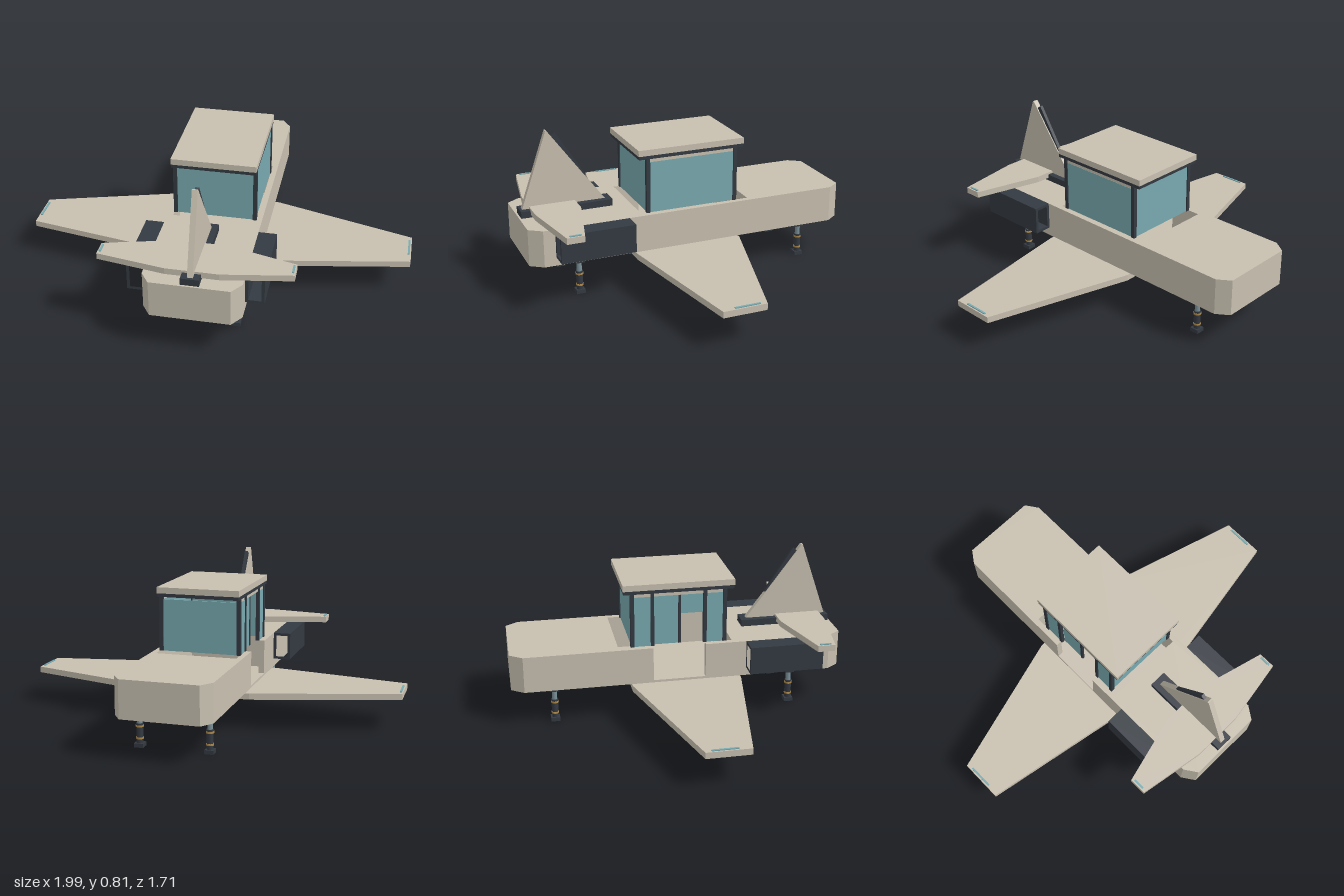
import * as THREE from 'three';

const mat = (name, color) => {
  const m = new THREE.MeshStandardMaterial({ color });
  m.name = name;
  return m;
};

export function createModel() {
  const root = new THREE.Group();
  root.name = 'aircraft';
  const hullPaint = mat('warm grey paint', 0xc8c0b0);
  const dark = mat('dark metal', 0x343a42);
  const glass = mat('teal glass', 0x78aab0);
  const steel = mat('steel', 0x7b929a);
  const brass = mat('brass', 0xb08a4a);

  const add = (name, geo, material, parent = root) => {
    const m = new THREE.Mesh(geo, material);
    m.name = name;
    parent.add(m);
    return m;
  };
  // Box given by its limits
  const box = (name, material, x0, x1, y0, y1, z0, z1, parent) => {
    const m = add(name, new THREE.BoxGeometry(x1 - x0, y1 - y0, z1 - z0), material, parent);
    m.position.set((x0 + x1) / 2, (y0 + y1) / 2, (z0 + z1) / 2);
    return m;
  };
  // Horizontal slab from [x, z] points
  const slab = (name, material, pts, y0, y1) => {
    const shape = new THREE.Shape(pts.map(([x, z]) => new THREE.Vector2(x, -z)));
    const geo = new THREE.ExtrudeGeometry(shape, { depth: y1 - y0, bevelEnabled: false });
    geo.rotateX(-Math.PI / 2).translate(0, y0, 0);
    return add(name, geo, material);
  };
  // Upright plate from [z, y] points, centred on x = 0
  const plate = (name, material, pts, width) => {
    const shape = new THREE.Shape(pts.map(([z, y]) => new THREE.Vector2(-z, y)));
    const geo = new THREE.ExtrudeGeometry(shape, { depth: width, bevelEnabled: false });
    geo.translate(0, 0, -width / 2).rotateY(Math.PI / 2);
    return add(name, geo, material);
  };

  // Fuselage: floor, and walls around the cabin well with a doorway in the right side
  const W = 0.24, L = 0.855, c = 0.195, e = 0.79, D = 0.135;
  const outline = [[-W, D], [-W, e], [-c, L], [c, L], [W, e], [W, -e], [c, -L], [-c, -L], [-W, -e], [-W, -D]];
  const well = [[-0.21, -D], [-0.21, -0.31], [0.21, -0.31], [0.21, 0.275], [-0.21, 0.275], [-0.21, D]];
  slab('fuselageFloor', hullPaint, outline, 0.195, 0.207);
  slab('fuselageWalls', hullPaint, [...outline, ...well], 0.207, 0.385);

  // Wings and tailplane
  slab('wings', hullPaint, [[-0.26, -0.247], [0.26, -0.247], [0.995, -0.033], [0.995, 0.187],
    [0.26, 0.318], [-0.26, 0.318], [-0.995, 0.187], [-0.995, -0.033]], 0.163, 0.195);
  slab('tailplane', hullPaint, [[-0.12, 0.56], [0.12, 0.56], [0.472, 0.652], [0.472, 0.74],
    [0.13, 0.797], [-0.13, 0.797], [-0.472, 0.74], [-0.472, 0.652]], 0.4, 0.432);
  box('bellyHatch', dark, -0.07, 0.07, 0.148, 0.163, -0.033, 0.113);

  // Fin with its dark base and leading strip
  box('finBase', dark, -0.045, 0.045, 0.385, 0.42, 0.37, 0.845);
  plate('fin', hullPaint, [[0.833, 0.417], [0.398, 0.417], [0.508, 0.563], [0.69, 0.81], [0.697, 0.81]], 0.028);
  plate('finStrip', dark, [[0.67, 0.775], [0.645, 0.793], [0.497, 0.56], [0.52, 0.56]], 0.018);

  // Cabin roof, corner posts, headers and windows
  box('roof', hullPaint, -0.214, 0.214, 0.686, 0.717, -0.283, 0.287);
  box('roofLining', dark, -0.212, 0.212, 0.668, 0.686, -0.28, 0.284);
  for (const s of [-1, 1]) {
    for (const t of [-1, 1]) {
      box('cornerPost', dark, s * 0.203 - 0.01, s * 0.203 + 0.01, 0.385, 0.668, t * 0.237 - 0.01, t * 0.237 + 0.01);
    }
    box('header', hullPaint, s * 0.2 - 0.006, s * 0.2 + 0.006, 0.65, 0.668, -0.227, 0.227);
    box('endWindow', glass, -0.193, 0.193, 0.385, 0.65, s * 0.237 - 0.004, s * 0.237 + 0.004);
    box('doorPost', dark, -0.212, -0.194, 0.385, 0.668, s * D - 0.009, s * D + 0.009);
    const a = s * D, b = s * 0.227;
    box('sideWindow', glass, -0.207, -0.199, 0.385, 0.65, Math.min(a, b), Math.max(a, b));
  }
  box('sideWindow', glass, 0.199, 0.207, 0.385, 0.65, -0.227, 0.227);

  // Sliding door left part open
  box('doorGlass', glass, -0.192, -0.186, 0.385, 0.65, -0.126, 0);
  box('doorEdge', dark, -0.195, -0.183, 0.385, 0.65, 0, 0.014);

  for (const s of [-1, 1]) {
    // Hollow engine pods
    const pod = new THREE.Shape([[0.24, 0.24], [0.333, 0.24], [0.333, 0.385], [0.24, 0.385]]
      .map(([x, y]) => new THREE.Vector2(s * x, y)));
    pod.holes.push(new THREE.Path([[0.255, 0.254], [0.318, 0.254], [0.318, 0.371], [0.255, 0.371]]
      .map(([x, y]) => new THREE.Vector2(s * x, y))));
    const geo = new THREE.ExtrudeGeometry(pod, { depth: 0.382, bevelEnabled: false });
    add('enginePod', geo.translate(0, 0, 0.348), dark);

    // Tip lights
    box('wingLight', glass, s * 0.983 - 0.005, s * 0.983 + 0.005, 0.195, 0.2, -0.002, 0.125);
    box('tailLight', glass, s * 0.46 - 0.005, s * 0.46 + 0.005, 0.432, 0.437, 0.665, 0.722);

    // Landing legs: [name, material, bottom, top, radius]
    for (const z of [0.598, -0.638]) {
      const leg = new THREE.Group();
      leg.name = 'landingLeg';
      leg.position.set(s * 0.176, 0, z);
      root.add(leg);
      box('legMount', dark, -0.024, 0.024, 0.168, 0.195, -0.024, 0.024, leg);
      box('foot', dark, -0.023, 0.023, 0, 0.02, -0.023, 0.023, leg);
      for (const [name, m, y0, y1, r] of [
        ['ankle', dark, 0.02, 0.04, 0.016], ['lowerRing', brass, 0.04, 0.049, 0.019],
        ['lowerSleeve', dark, 0.049, 0.1, 0.017], ['upperRing', brass, 0.1, 0.109, 0.02],
        ['collar', dark, 0.109, 0.118, 0.018], ['strut', steel, 0.118, 0.168, 0.013],
      ]) {
        add(name, new THREE.CylinderGeometry(r, r, y1 - y0, 16), m, leg).position.y = (y0 + y1) / 2;
      }
    }
  }
  return root;
}
